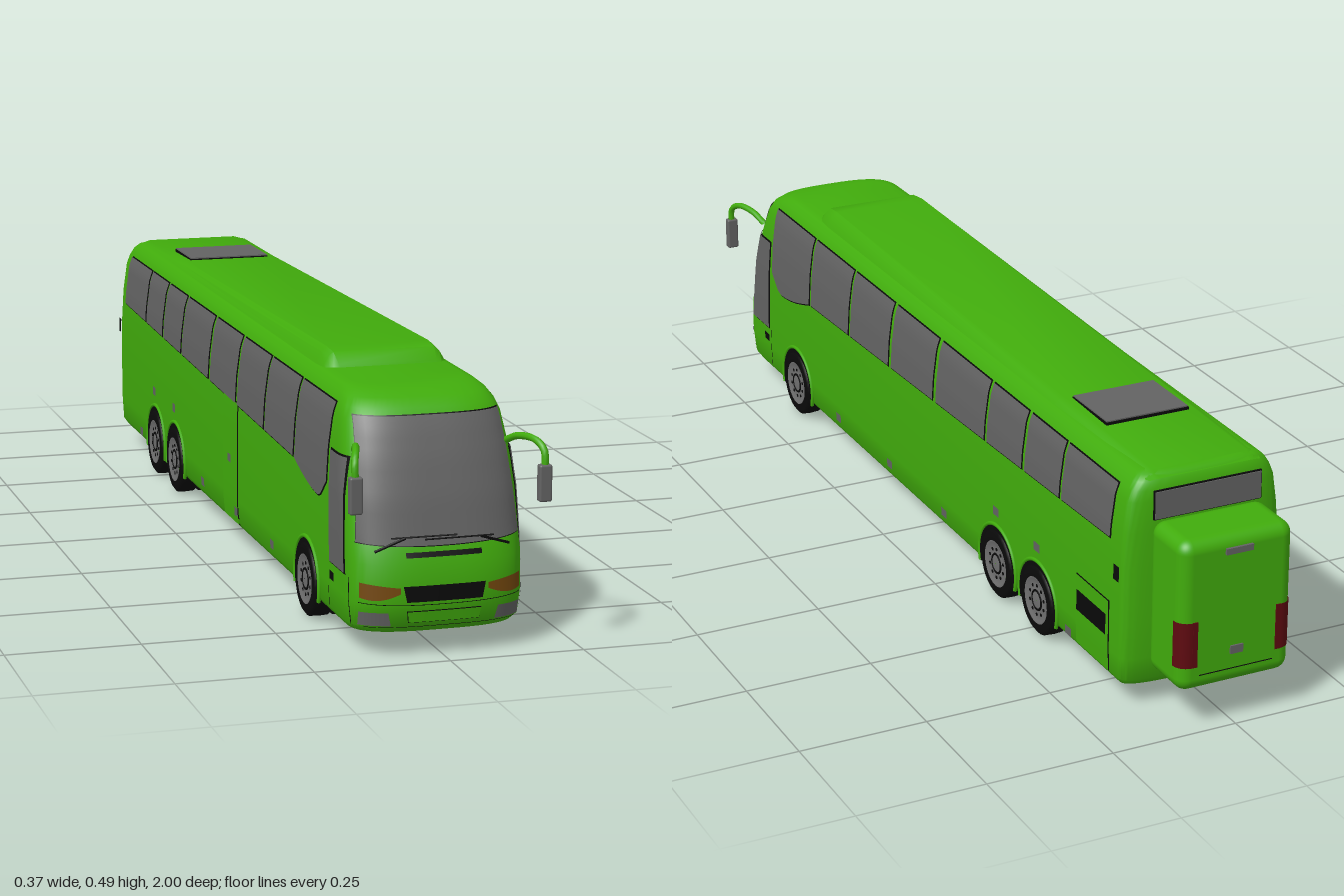
import * as THREE from 'three';
import { toCreasedNormals } from 'three/addons/utils/BufferGeometryUtils.js';
import { RoundedBoxGeometry } from 'three/addons/geometries/RoundedBoxGeometry.js';

const mat = (name, color) => new THREE.MeshStandardMaterial({ name, color, side: THREE.DoubleSide });

// Shell profile rows: height, half width, front z, rear z
const ROWS = [
  [0.043, 0.152, 0.945, -0.865], [0.055, 0.160, 0.957, -0.872], [0.10, 0.162, 0.966, -0.876],
  [0.17, 0.162, 0.964, -0.878], [0.20, 0.162, 0.952, -0.878], [0.28, 0.161, 0.932, -0.878],
  [0.35, 0.157, 0.908, -0.877], [0.41, 0.149, 0.882, -0.875], [0.43, 0.142, 0.868, -0.872],
  [0.445, 0.133, 0.845, -0.868], [0.455, 0.122, 0.815, -0.86], [0.459, 0.108, 0.79, -0.85],
];
const P = 3, BOW = 0.085, REAR_BOW = 0.03;

function profile(y) {
  let i = 0;
  while (i < ROWS.length - 2 && y > ROWS[i + 1][0]) i++;
  const a = ROWS[i], b = ROWS[i + 1];
  const t = THREE.MathUtils.clamp((y - a[0]) / (b[0] - a[0]), 0, 1);
  return [1, 2, 3].map(k => a[k] + (b[k] - a[k]) * t);
}
// Half width of the shell at (y, z), and nose depth at (x, y)
function sideX(y, z) {
  const [w, zf, zr] = profile(y);
  const f = Math.max((z - zf + BOW) / BOW, (zr + REAR_BOW - z) / REAR_BOW, 0);
  return w * Math.pow(Math.max(1 - Math.pow(f, P), 0), 1 / P);
}
function noseZ(x, y) {
  const [w, zf] = profile(y);
  const s = Math.min(Math.abs(x) / w, 1);
  return zf - BOW + BOW * Math.pow(1 - Math.pow(s, P), 1 / P);
}

// Grid surface from a rule
function grid(nu, nv, fn) {
  const pos = [], idx = [];
  for (let j = 0; j <= nv; j++) for (let i = 0; i <= nu; i++) pos.push(...fn(i / nu, j / nv));
  for (let j = 0; j < nv; j++) for (let i = 0; i < nu; i++) {
    const a = j * (nu + 1) + i, b = a + nu + 1;
    idx.push(a, b, a + 1, a + 1, b, b + 1);
  }
  const g = new THREE.BufferGeometry();
  g.setAttribute('position', new THREE.Float32BufferAttribute(pos, 3));
  g.setIndex(idx);
  g.computeVertexNormals();
  return g;
}

// Closed rings: front arc, straight flank, rear arc, straight flank
function shellGeometry() {
  const N = 32, arc = [];
  for (let i = 0; i <= N; i++) {
    const a = (i / N) * Math.PI, c = Math.cos(a);
    const x = i * 2 === N ? 0 : Math.sign(c) * Math.pow(Math.abs(c), 2 / P);
    arc.push([x, i % N ? Math.pow(Math.sin(a), 2 / P) : 0]);
  }
  const ring = (w, zf, zr) => {
    const front = arc.map(([c, s]) => [w * c, zf - BOW + BOW * s]);
    const rear = arc.map(([c, s]) => [-w * c, zr + REAR_BOW - REAR_BOW * s]);
    return [...front, ...rear, front[0]];
  };
  const first = ROWS[0], last = ROWS[ROWS.length - 1];
  const rings = ROWS.map(([y, ...r]) => ring(...r).map(([x, z]) => [x, y, z]));
  const rows = [rings[0].map(([, , z]) => [0, first[0], z]), ...rings, rings[rings.length - 1].map(([, , z]) => [0, last[0], z])];
  const nu = rows[0].length - 1, nv = rows.length - 1;
  return toCreasedNormals(grid(nu, nv, (u, v) => rows[Math.round(v * nv)][Math.round(u * nu)]), 0.7);
}

export function createModel() {
  const bus = new THREE.Group();
  bus.name = 'coach';
  const green = mat('bodyGreen', 0x41ac0c), glass = mat('glassGrey', 0x636363), black = mat('trimBlack', 0x0a0a0a);
  const amber = mat('headlightAmber', 0x74480e), red = mat('lampRed', 0x5e0a10), rimGrey = mat('rimGrey', 0x707070);

  const add = (name, geo, m, x = 0, y = 0, z = 0, parent = bus) => {
    const mesh = new THREE.Mesh(geo, m);
    mesh.name = name;
    mesh.position.set(x, y, z);
    parent.add(mesh);
    return mesh;
  };
  const box = (name, m, w, h, d, x, y, z) => add(name, new THREE.BoxGeometry(w, h, d), m, x, y, z);
  const val = (f, t) => (typeof f === 'function' ? f(t) : f);
  // Thin panel on a flank; heights may vary with z
  const sidePanel = (name, m, s, z0, z1, yb, yt, off = 0.003) => add(name, grid(12, 10, (u, v) => {
    const z = z0 + (z1 - z0) * u, b = val(yb, z), y = b + (val(yt, z) - b) * v;
    return [s * (sideX(y, z) + off), y, z];
  }), m);
  // Thin panel on the nose; side edges may vary with v
  const nosePanel = (name, m, x0, x1, yb, yt, off = 0.003) => add(name, grid(32, 12, (u, v) => {
    const a = val(x0, v), x = a + (val(x1, v) - a) * u, b = val(yb, x), y = b + (val(yt, x) - b) * v;
    return [x * (1 + off), y, noseZ(x, y) + off];
  }), m);

  add('bodyShell', shellGeometry(), green);

  // Raised roof fairing, highest at the front
  const stations = [[0.635, 0.452, 0.1], [0.625, 0.464, 0.108], [0.6, 0.483, 0.112], [0.56, 0.487, 0.114], [-0.5, 0.469, 0.114], [-0.84, 0.461, 0.112], [-0.865, 0.45, 0.105]];
  const section = [[1.08, 0], [1.03, 0.35], [0.96, 0.75], [0.87, 1], [-0.87, 1], [-0.96, 0.75], [-1.03, 0.35], [-1.08, 0]];
  add('roofFairing', toCreasedNormals(grid(7, 6, (u, v) => {
    const [z, top, w] = stations[Math.round(v * 6)], [sx, sy] = section[Math.round(u * 7)];
    return [sx * w, 0.449 + (top - 0.449) * sy, z];
  }), 0.6), green);
  box('roofHatchFrame', black, 0.172, 0.008, 0.137, 0, 0.467, -0.58);
  box('roofHatch', glass, 0.169, 0.01, 0.134, 0, 0.4685, -0.58);

  // Windscreen and wipers
  const screenFoot = x => 0.2 + 0.3 * x * x;
  nosePanel('windscreenSeal', black, v => -0.1515 + 0.016 * v, v => 0.1515 - 0.016 * v, x => screenFoot(x) - 0.002, 0.4205, 0.002);
  nosePanel('windscreen', glass, v => -0.151 + 0.016 * v, v => 0.151 - 0.016 * v, screenFoot, 0.419, 0.004);
  const wiperBar = (r, ...ends) => {
    const [a, b] = ends.map(([x, y]) => new THREE.Vector3(x, y, noseZ(x, y) + 0.008));
    add('wiper', new THREE.TubeGeometry(new THREE.LineCurve3(a, b), 1, r, 6), black);
  };
  for (const [p, q, r] of [[[-0.125, 0.193], [-0.07, 0.216], [0.025, 0.217]], [[0.125, 0.193], [0.07, 0.211], [-0.035, 0.212]]]) {
    wiperBar(0.0025, p, q);
    wiperBar(0.0015, [q[0] + Math.sign(p[0]) * 0.025, q[1]], r);
  }

  // Nose details
  nosePanel('noseSlot', black, -0.07, 0.07, 0.181, 0.19);
  nosePanel('grille', black, v => -0.07 - 0.006 * v, v => 0.07 + 0.006 * v, 0.102, 0.131);
  nosePanel('bumperSeam', black, -0.15, 0.15, x => 0.095 + 0.2 * x * x, x => 0.0962 + 0.2 * x * x, 0.002);
  nosePanel('lowerSeam', black, -0.14, 0.14, 0.0545, 0.0555, 0.002);
  nosePanel('plateOutline', black, v => -0.066 - 0.003 * v, v => 0.066 + 0.003 * v, 0.063, 0.085, 0.002);
  nosePanel('platePanel', green, v => -0.065 - 0.003 * v, v => 0.065 + 0.003 * v, 0.0642, 0.0838, 0.004);
  const lens = x => Math.min((Math.abs(x) - 0.08) / 0.07, 1);
  for (const s of [1, -1]) {
    nosePanel('headlight', amber, s * 0.081, s * 0.149, x => 0.118 - 0.012 * Math.sin(lens(x) * 2.4), x => 0.128 + 0.009 * lens(x));
    nosePanel('fogLamp', glass, v => s * (0.096 + 0.006 * v), s * 0.149, 0.058, 0.083);
  }

  // Side windows share a sill that rises to the rear and dips at the front
  const sill = z => (z > 0.57 ? 0.283 - 0.034 * Math.sin(Math.min((z - 0.57) / 0.17, 1) * Math.PI / 2) + Math.max(z - 0.74, 0) * 0.9
    : 0.283 + (0.57 - z) * 0.031);
  const windows = [[0.78, 0.573], [0.562, 0.364], [0.353, 0.16], [0.145, -0.054], [-0.07, -0.29], [-0.302, -0.452], [-0.465, -0.608], [-0.618, -0.81]];
  for (const s of [1, -1]) {
    for (const [a, b] of windows) {
      sidePanel('windowSeal', black, s, a + 0.002, b - 0.002, z => sill(z) - 0.003, 0.4315, 0.002);
      sidePanel('sideWindow', glass, s, a, b, sill, 0.43, 0.004);
    }
    // Cab window, leaning with the pillar
    for (const [name, m, e, off] of [['cabWindowSeal', black, 0.003, 0.002], ['cabWindow', glass, 0, 0.004]]) {
      add(name, grid(10, 12, (u, v) => {
        const y = 0.145 - e + (0.203 + 2 * e) * v;
        const z = 0.805 - 0.01 * v - e + (0.09 - 0.015 * v + 2 * e) * u;
        return [s * (sideX(y, z) + off), y, z];
      }), m);
    }
    // Marker lamps, cab seams and rear hinge
    for (const [z, y] of [[0.42, 0.077], [0.155, 0.077], [-0.11, 0.077], [-0.35, 0.182], [-0.525, 0.182], [-0.655, 0.065]])
      sidePanel('markerLamp', glass, s, z - 0.012, z + 0.012, y - 0.009, y + 0.009, 0.004);
    sidePanel('cabStepLamp', black, s, 0.805, 0.83, 0.112, 0.128);
    for (const z of [0.795, 0.91]) sidePanel('cabSeam', black, s, z, z + 0.002, 0.056, 0.142, 0.002);
    sidePanel('rearHinge', black, s, -0.855, -0.835, 0.255, 0.285, 0.006);
  }
  // Passenger door on one flank, engine vent on the other
  sidePanel('doorOutline', black, -1, 0.055, 0.165, 0.05, 0.3, 0.0015);
  sidePanel('door', green, -1, 0.057, 0.163, 0.052, 0.298, 0.003);
  sidePanel('doorHandle', glass, -1, 0.1, 0.122, 0.17, 0.186, 0.005);
  sidePanel('enginePanelOutline', black, 1, -0.815, -0.685, 0.056, 0.2, 0.0015);
  sidePanel('enginePanel', green, 1, -0.8135, -0.6865, 0.0575, 0.1985, 0.003);
  sidePanel('engineVent', black, 1, -0.807, -0.692, 0.128, 0.17, 0.005);

  // Wheels: tyre and dished rim turned about the axle
  const tyreProfile = [[0.046, -0.02], [0.062, -0.021], [0.069, -0.016], [0.07, 0], [0.069, 0.016], [0.062, 0.021], [0.046, 0.02]];
  const rimProfile = [[0.001, 0.02], [0.014, 0.02], [0.018, 0.0185], [0.03, 0.018], [0.039, 0.0185], [0.043, 0.021], [0.047, 0.021]];
  const lathe = pts => new THREE.LatheGeometry(pts.map(([r, h]) => new THREE.Vector2(r, h)), 32).rotateZ(-Math.PI / 2);
  const tyreGeo = lathe(tyreProfile), rimGeo = lathe(rimProfile);
  const holeGeo = new THREE.CylinderGeometry(0.0035, 0.0035, 0.003, 8).rotateZ(Math.PI / 2);
  const hubGeo = new THREE.TorusGeometry(0.019, 0.003, 6, 24).rotateY(Math.PI / 2);
  const archGeo = new THREE.TorusGeometry(0.08, 0.004, 8, 32, Math.PI * 1.2).rotateZ(-Math.PI * 0.1).rotateY(Math.PI / 2);
  const wellGeo = new THREE.CircleGeometry(0.079, 40, -0.33, Math.PI + 0.66).rotateY(Math.PI / 2);
  for (const s of [1, -1]) for (const z of [0.65, -0.35, -0.525]) {
    const wheel = new THREE.Group();
    wheel.name = 'wheel';
    wheel.position.set(s * 0.146, 0.07, z);
    if (s < 0) wheel.rotation.y = Math.PI;
    bus.add(wheel);
    add('tyre', tyreGeo, black, 0, 0, 0, wheel);
    add('rim', rimGeo, rimGrey, 0, 0, 0, wheel);
    for (let i = 0; i < 10; i++) {
      const a = i * Math.PI / 5;
      add('rimHole', holeGeo, black, 0.0175, Math.cos(a) * 0.03, Math.sin(a) * 0.03, wheel);
    }
    add('hubRing', hubGeo, black, 0.0175, 0, 0, wheel);
    add('innerTyre', tyreGeo, black, -0.045, 0, 0, wheel);
    add('wheelWell', wellGeo, black, 0.0172, 0, 0, wheel);
    add('wheelArch', archGeo, green, 0.016, 0, 0, wheel);
  }

  // Mirrors on curved arms reaching forward
  for (const s of [1, -1]) {
    const arm = new THREE.CatmullRomCurve3([[0.142, 0.365, 0.88], [0.151, 0.379, 0.915], [0.166, 0.381, 0.965], [0.174, 0.366, 0.987], [0.174, 0.325, 0.991]]
      .map(([x, y, z]) => new THREE.Vector3(s * x, y, z)));
    add('mirrorArm', new THREE.TubeGeometry(arm, 20, 0.0065, 8), green);
    add('mirrorHead', new RoundedBoxGeometry(0.024, 0.067, 0.018, 2, 0.004), glass, s * 0.174, 0.309, 0.991);
  }

  // Rear window, luggage box, lamps and step
  box('rearWindowSeal', black, 0.22, 0.057, 0.004, 0, 0.405, -0.877);
  box('rearWindow', glass, 0.216, 0.053, 0.006, 0, 0.405, -0.878);
  add('luggageBox', new RoundedBoxGeometry(0.23, 0.297, 0.125, 5, 0.025), green, 0, 0.228, -0.9305);
  box('boxHandle', glass, 0.055, 0.012, 0.008, 0, 0.348, -0.994);
  box('boxPlate', glass, 0.026, 0.016, 0.005, 0, 0.15, -0.994);
  box('boxSeam', black, 0.15, 0.0015, 0.002, 0, 0.112, -0.993);
  const lampGeo = new THREE.CylinderGeometry(0.0265, 0.0265, 0.09, 10, 1, true, Math.PI / 2, Math.PI / 2);
  for (const s of [1, -1]) {
    add('tailLamp', lampGeo, red, s * 0.09, 0.175, -0.968).scale.x = s;
    box('tailLampRear', red, 0.01, 0.09, 0.003, s * 0.085, 0.175, -0.9935);
  }
  box('rearStep', rimGrey, 0.06, 0.007, 0.04, 0, 0.0445, -0.88);
  return bus;
}
